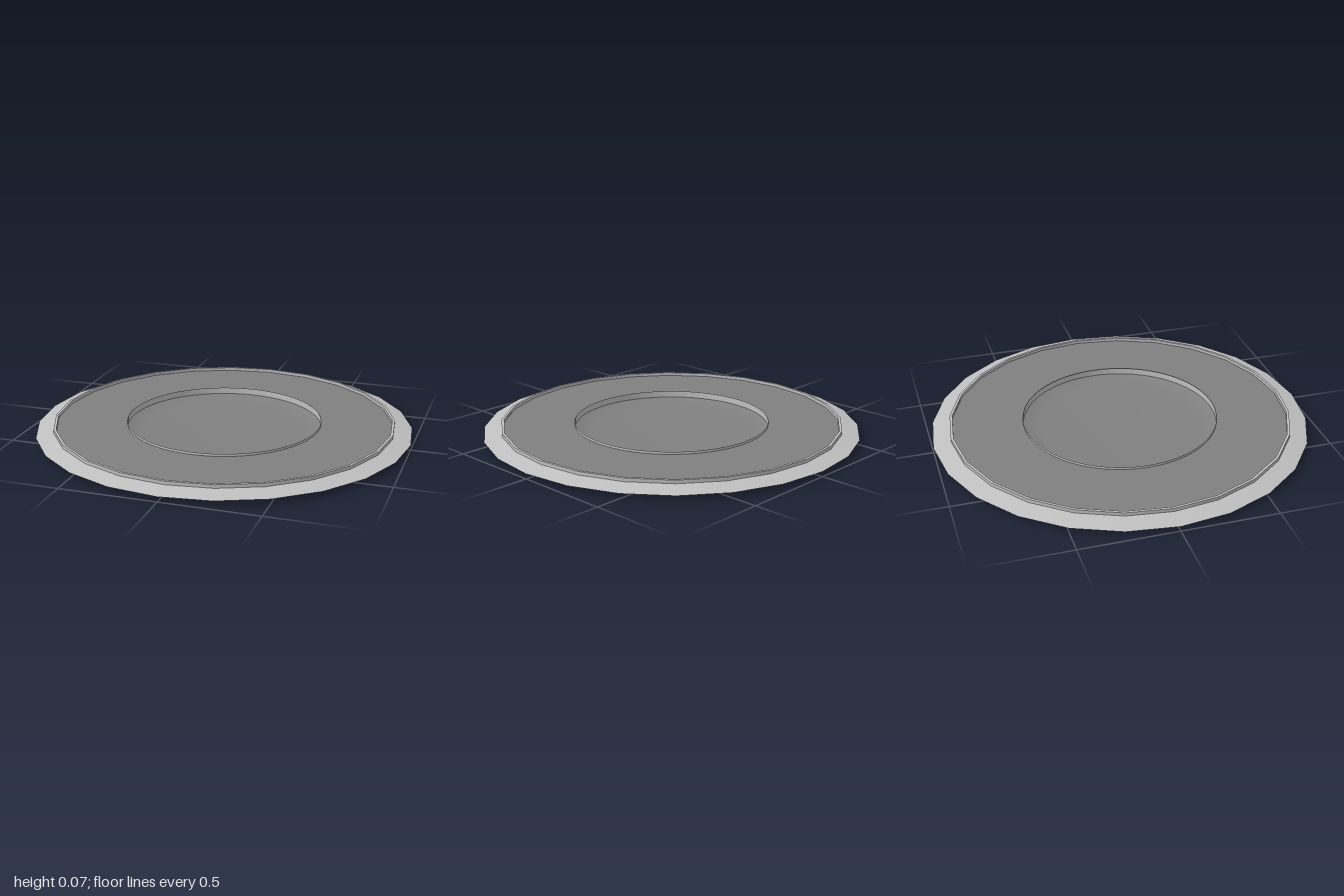
import * as THREE from 'three';

const SIDES = 24;   // coarse outer outline
const ROUND = 96;   // fine inner circle

export function createModel() {
  const group = new THREE.Group();
  group.name = 'dish';

  const lightGrey = new THREE.MeshStandardMaterial({ color: 0xc0c0c0, side: THREE.DoubleSide });
  lightGrey.name = 'light grey';
  const midGrey = new THREE.MeshStandardMaterial({ color: 0x808080, side: THREE.DoubleSide });
  midGrey.name = 'mid grey';

  const add = (name, geometry, material) => {
    const mesh = new THREE.Mesh(geometry, material);
    mesh.name = name;
    group.add(mesh);
    return mesh;
  };
  // Surface of revolution through [radius, height] pairs
  const turned = (points, sides) =>
    new THREE.LatheGeometry(points.map(([r, y]) => new THREE.Vector2(r, y)), sides);

  // Outer brim and raised rim: one band per face keeps the edges sharp
  const outer = [[1, 0.026], [0.907, 0.048], [0.907, 0.066], [0.893, 0.066], [0.893, 0.049]];
  const names = ['brim', 'rimOuterWall', 'rimTop', 'rimInnerWall'];
  names.forEach((name, i) => add(name, turned([outer[i], outer[i + 1]], SIDES), lightGrey));

  // Flat plate with a round opening
  const outline = Array.from({ length: SIDES }, (_, i) => {
    const a = (i / SIDES) * Math.PI * 2;
    return new THREE.Vector2(Math.cos(a) * 0.893, Math.sin(a) * 0.893);
  });
  const shape = new THREE.Shape(outline);
  shape.holes.push(new THREE.Path().absarc(0, 0, 0.516, 0, Math.PI * 2, true));
  const plate = add('plate', new THREE.ShapeGeometry(shape, ROUND), midGrey);
  plate.rotation.x = -Math.PI / 2;
  plate.position.y = 0.049;

  // Thin upright collar around the opening
  add('collar', turned([[0.516, 0.027], [0.516, 0.062]], ROUND), lightGrey);

  // Shallow centre bowl, smoothly shaded
  add('bowl', turned([[0, 0], [0.43, 0], [0.516, 0.027]], ROUND), midGrey);

  return group;
}
